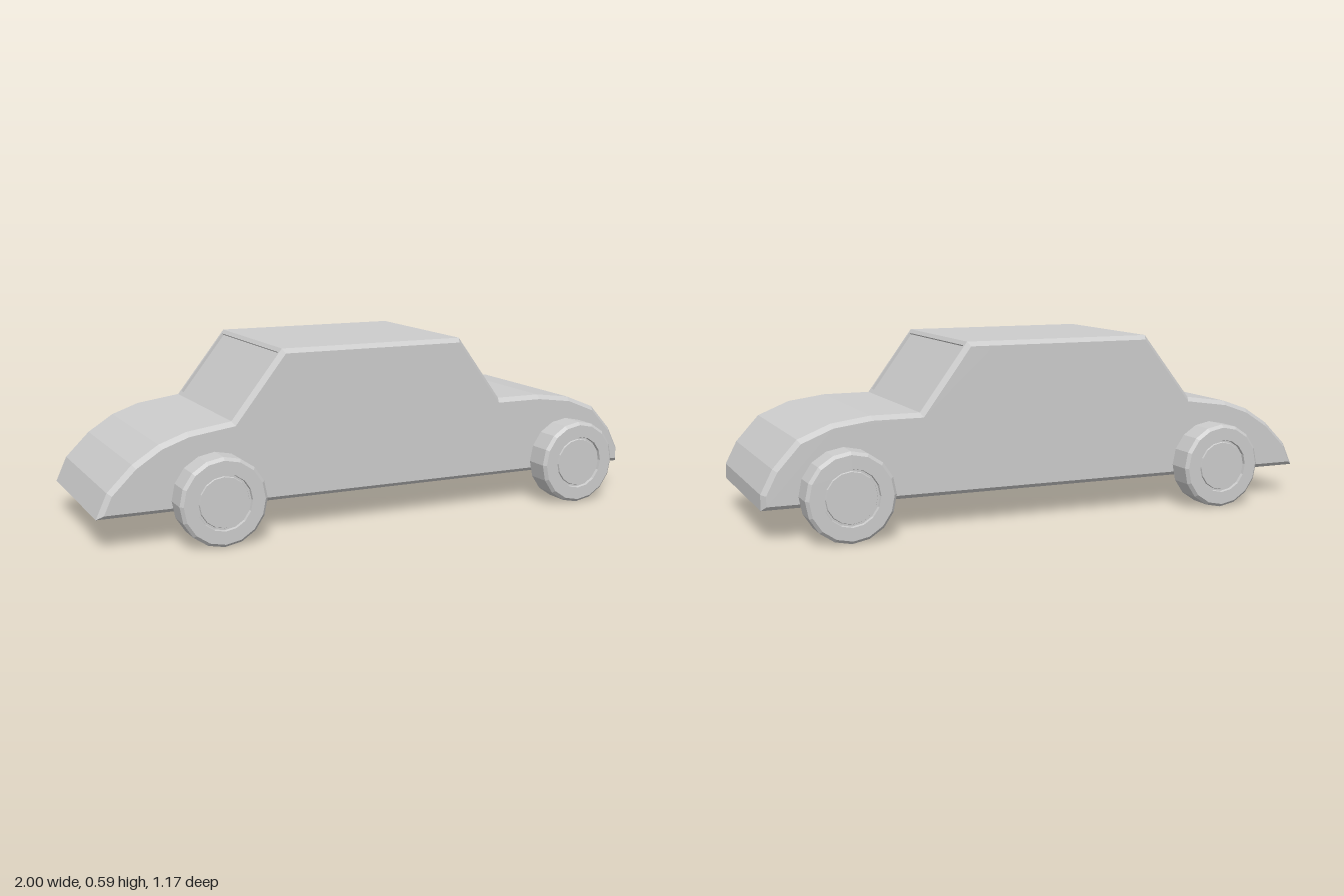
import * as THREE from 'three';

const material = new THREE.MeshStandardMaterial({ color: 0xcccccc, flatShading: true });
const HALF = 0.294;         // half body width
const PANEL = 0.018;        // thickness of the side panels, depth of the side windows
const CHAMFER = 0.014;      // inset of the outer panel edge
const SCREEN_DEPTH = 0.009; // depth of the front and rear screens

// Side profile: tail, boot, cabin, bonnet, nose
const tail = [[-0.966, 0.1], [-0.93, 0.18], [-0.85, 0.26], [-0.765, 0.315], [-0.675, 0.347]];
const rearBase = [-0.528, 0.368], rearTop = [-0.356, 0.587];
const frontTop = [0.285, 0.587], frontBase = [0.445, 0.37];
const nose = [[0.605, 0.37], [0.732, 0.353], [0.838, 0.31], [0.915, 0.225], [0.953, 0.15], [0.953, 0.1]];

const sideWindows = [
  [[-0.355, 0.558], [-0.045, 0.558], [-0.045, 0.383], [-0.467, 0.383]],
  [[-0.02, 0.558], [0.215, 0.558], [0.373, 0.383], [-0.015, 0.383]],
];

const toVectors = (points) => points.map(([x, y]) => new THREE.Vector2(x, y));
const toShape = (points) => new THREE.Shape(toVectors(points));
const toHole = (points) => new THREE.Path(toVectors(points));

function addMesh(parent, name, geometry) {
  const mesh = new THREE.Mesh(geometry, material);
  mesh.name = name;
  parent.add(mesh);
  return mesh;
}

// Slope of a screen from its base to its top, with the outward normal
function screenAxes(base, top, side) {
  const up = new THREE.Vector3(top[0] - base[0], top[1] - base[1], 0);
  const length = up.length();
  up.normalize();
  return { up, length, normal: new THREE.Vector3(side * up.y, -side * up.x, 0) };
}

function sunk(point, axes) {
  return [point[0] - axes.normal.x * SCREEN_DEPTH, point[1] - axes.normal.y * SCREEN_DEPTH];
}

// Frame around a windscreen, lying flush on the slope
function addScreenFrame(car, name, base, axes, side) {
  const w = HALF - PANEL, x = w - 0.01, m = 0.015, h = axes.length;
  const shape = toShape([[-w, 0], [w, 0], [w, h], [-w, h]]);
  shape.holes.push(toHole([[-x, m], [-x, h - m], [x, h - m], [x, m]]));
  const geometry = new THREE.ExtrudeGeometry(shape, { depth: SCREEN_DEPTH, bevelEnabled: false });
  geometry.translate(0, 0, -SCREEN_DEPTH);
  const across = new THREE.Vector3(0, 0, -side);
  geometry.applyMatrix4(new THREE.Matrix4().makeBasis(across, axes.up, axes.normal));
  geometry.translate(base[0], base[1], 0);
  addMesh(car, name, geometry);
}

// Moves each corner of a clockwise outline inward by d
function insetOutline(points, d) {
  const n = points.length;
  return points.map((p, i) => {
    const a = p.clone().sub(points[(i + n - 1) % n]).normalize();
    const b = points[(i + 1) % n].clone().sub(p).normalize();
    const inward = new THREE.Vector2(a.y + b.y, -a.x - b.x);
    return p.clone().addScaledVector(inward, d / (1 + a.dot(b)));
  });
}

// Panel with window openings; its outer rim is drawn in to chamfer the body edge
function sidePanelGeometry(side) {
  const outline = toVectors([...tail, rearBase, rearTop, frontTop, frontBase, ...nose]);
  const inner = insetOutline(outline, CHAMFER);
  const shape = new THREE.Shape(outline);
  sideWindows.forEach((w) => shape.holes.push(toHole(w)));
  const geometry = new THREE.ExtrudeGeometry(shape, { depth: PANEL, bevelEnabled: false });
  geometry.translate(0, 0, side > 0 ? HALF - PANEL : -HALF);
  const pos = geometry.attributes.position;
  for (let i = 0; i < pos.count; i++) {
    if (Math.abs(pos.getZ(i)) < HALF - 0.001) continue;
    const k = outline.findIndex((p) => Math.hypot(p.x - pos.getX(i), p.y - pos.getY(i)) < 1e-4);
    if (k >= 0) pos.setXY(i, inner[k].x, inner[k].y);
  }
  geometry.computeVertexNormals();
  return geometry;
}

function addBody(car) {
  const rear = screenAxes(rearBase, rearTop, -1);
  const front = screenAxes(frontBase, frontTop, 1);

  // Core between the side panels, sunk at both screens
  const core = toShape([
    ...tail, rearBase, sunk(rearBase, rear), sunk(rearTop, rear), rearTop,
    frontTop, sunk(frontTop, front), sunk(frontBase, front), frontBase, ...nose,
  ]);
  const coreHalf = HALF - PANEL;
  const coreGeometry = new THREE.ExtrudeGeometry(core, { depth: coreHalf * 2, bevelEnabled: false });
  coreGeometry.translate(0, 0, -coreHalf);
  addMesh(car, 'body', coreGeometry);

  addMesh(car, 'leftSidePanel', sidePanelGeometry(-1));
  addMesh(car, 'rightSidePanel', sidePanelGeometry(1));
  addScreenFrame(car, 'windscreenFrame', frontBase, front, 1);
  addScreenFrame(car, 'rearScreenFrame', rearBase, rear, -1);
}

// Wheel with a plain inner face and a hub set in a groove on the outer face
function wheelGeometry() {
  const profile = [
    [0, -0.05], [0.132, -0.05], [0.142, -0.04], [0.142, 0.04], [0.132, 0.05],
    [0.09, 0.05], [0.088, 0.04], [0.082, 0.04], [0.08, 0.045], [0, 0.045],
  ];
  return new THREE.LatheGeometry(toVectors(profile), 16).rotateX(Math.PI / 2);
}

export function createModel() {
  const model = new THREE.Group();
  model.name = 'saloonCar';

  // The car stands turned slightly to one side
  const car = new THREE.Group();
  car.name = 'car';
  car.rotation.y = THREE.MathUtils.degToRad(-14.5);
  car.position.set(0.005, 0, -0.017);
  model.add(car);

  addBody(car);

  const wheel = wheelGeometry();
  for (const [end, x] of [['rear', -0.596], ['front', 0.703]]) {
    for (const [name, side] of [['Left', -1], ['Right', 1]]) {
      const mesh = addMesh(car, `${end}${name}Wheel`, wheel);
      mesh.position.set(x, 0.142, side * 0.35);
      mesh.rotation.y = side > 0 ? 0 : Math.PI;
    }
  }
  return model;
}
